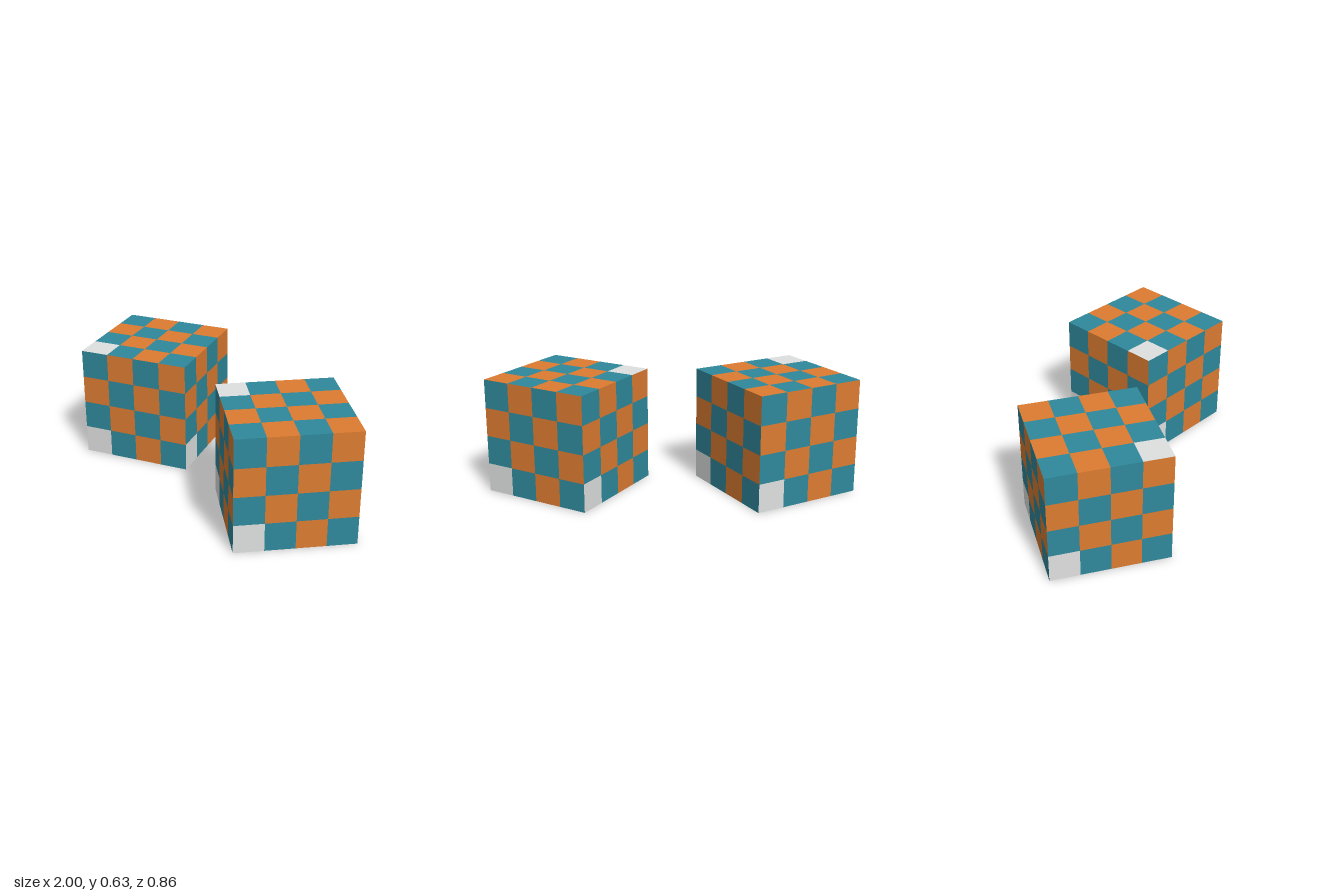
import * as THREE from 'three';

const SIDE = 0.632, CELLS = 4;

export function createModel() {
  const teal = new THREE.MeshStandardMaterial({ name: 'teal', color: 0x2f899c });
  const orange = new THREE.MeshStandardMaterial({ name: 'orange', color: 0xdc7c31 });
  const paleGrey = new THREE.MeshStandardMaterial({ name: 'paleGrey', color: 0xdfe1e0 });

  // Cube with a checkerboard on every face and a pale lower-left square
  const cube = new THREE.BoxGeometry(SIDE, SIDE, SIDE, CELLS, CELLS, CELLS);
  cube.clearGroups();
  let start = 0;
  for (let face = 0; face < 6; face++) {
    for (let row = CELLS - 1; row >= 0; row--) {
      for (let col = 0; col < CELLS; col++) {
        const material = row + col === 0 ? 2 : (row + col) % 2 ? 0 : 1;
        cube.addGroup(start, 6, material);
        start += 6;
      }
    }
  }

  // Two cubes side by side, turned in opposite directions
  const model = new THREE.Group();
  model.name = 'checkeredCubes';
  for (const side of [-1, 1]) {
    const mesh = new THREE.Mesh(cube, [teal, orange, paleGrey]);
    mesh.name = side > 0 ? 'leftCube' : 'rightCube';
    mesh.position.set(side * 0.568, SIDE / 2, 0);
    mesh.rotation.y = -side * Math.PI / 6;
    model.add(mesh);
  }
  return model;
}
